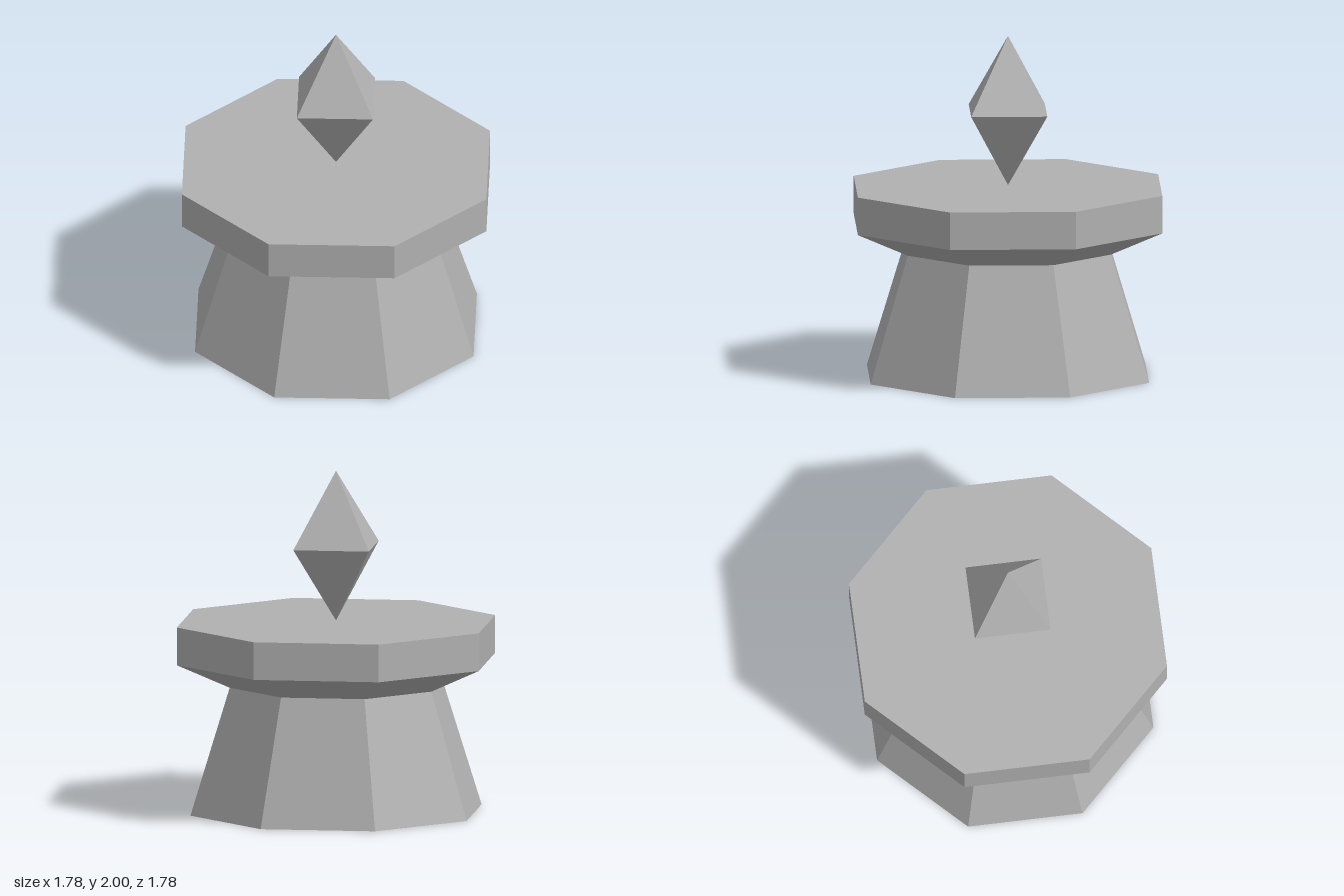
import * as THREE from 'three';

export function createModel() {
  const model = new THREE.Group();
  const stone = new THREE.MeshStandardMaterial({ color: 0xb0b0b0, flatShading: true });
  stone.name = 'grey stone';

  // Prism or frustum with flat sides facing the axes; radii are centre-to-side
  function frustum(name, sides, bottom, top, y0, y1, open = false) {
    const k = 1 / Math.cos(Math.PI / sides);
    const geometry = new THREE.CylinderGeometry(top * k, bottom * k, y1 - y0, sides, 1, open, Math.PI / sides);
    const mesh = new THREE.Mesh(geometry, stone);
    mesh.name = name;
    mesh.position.y = (y0 + y1) / 2;
    model.add(mesh);
  }

  // Octagonal pedestal, flared collar and slab
  frustum('pedestal', 8, 0.812, 0.593, 0, 0.745);
  frustum('collar', 8, 0.593, 0.888, 0.745, 0.89, true);
  frustum('slab', 8, 0.888, 0.888, 0.89, 1.112);

  // Floating four-sided crystal
  frustum('crystalLower', 4, 0, 0.222, 1.117, 1.559, true);
  frustum('crystalUpper', 4, 0.222, 0, 1.559, 2, true);

  return model;
}
